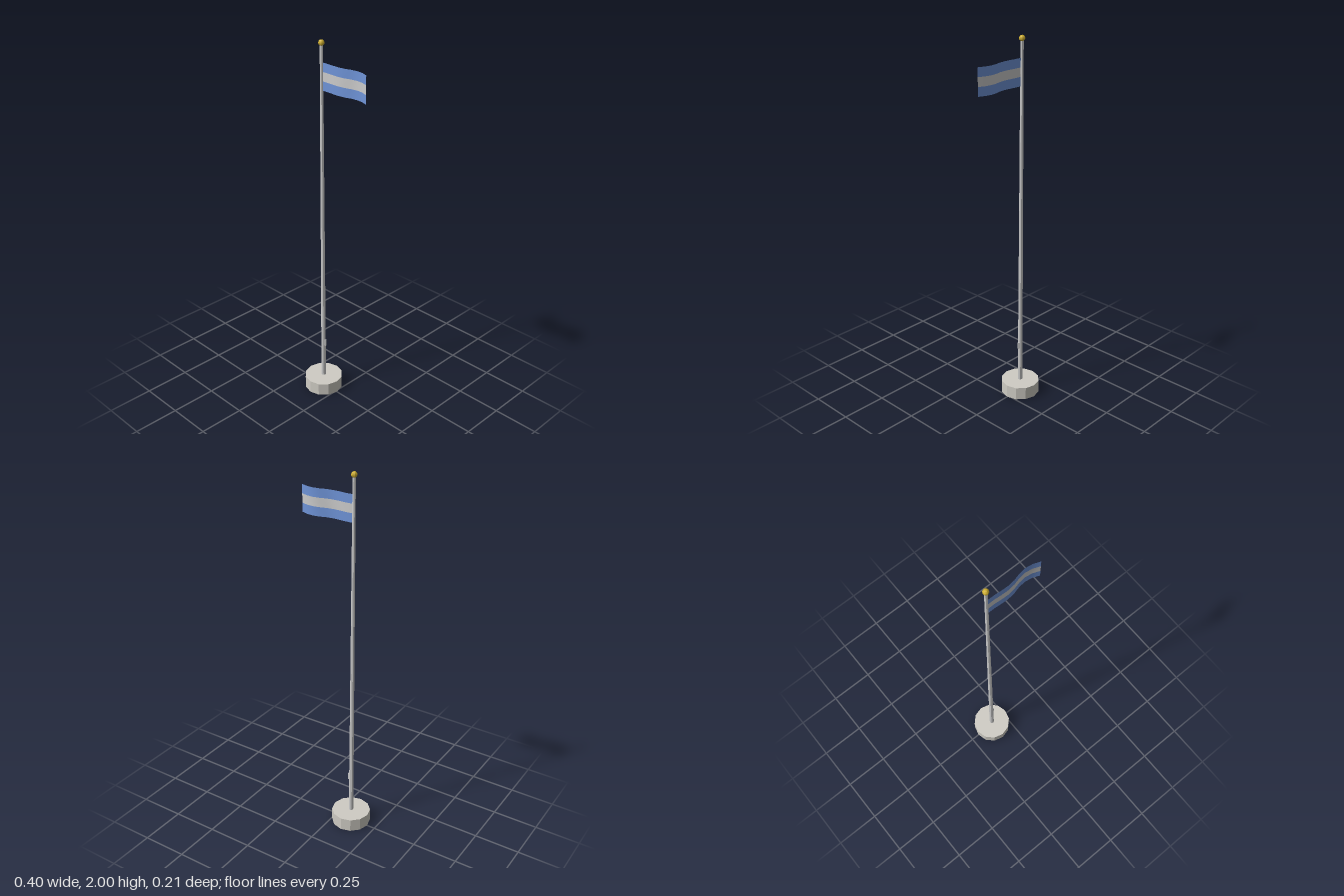
import * as THREE from 'three';

const POLE_X = -0.097;

function material(color, extra = {}) {
  return new THREE.MeshStandardMaterial({ color, flatShading: true, ...extra });
}

function part(name, geometry, mat, x, y, z = 0) {
  const mesh = new THREE.Mesh(geometry, mat);
  mesh.name = name;
  mesh.position.set(x, y, z);
  return mesh;
}

// Sideways offset of the cloth at equal steps from hoist to fly
const WAVE = [0, 0, 0.003, 0.004, 0, -0.01, -0.014, -0.009, 0.005];

// One horizontal strip of waving cloth
function stripGeometry(length, height) {
  const geo = new THREE.PlaneGeometry(length, height, WAVE.length - 1, 1);
  const pos = geo.attributes.position;
  for (let i = 0; i < pos.count; i++) pos.setZ(i, WAVE[i % WAVE.length]);
  geo.computeVertexNormals();
  return geo;
}

export function createModel() {
  const model = new THREE.Group();
  model.name = 'flagpole';

  const grey = material(0xcccccc);
  const stone = material(0xcfccc4);
  const gold = material(0xd0b030);
  const blue = material(0x6f94d8, { side: THREE.DoubleSide, flatShading: false });
  const pale = material(0xcccccc, { side: THREE.DoubleSide, flatShading: false });

  // Footing, tapered pole and ball on top
  model.add(part('base', new THREE.CylinderGeometry(0.106, 0.106, 0.072, 12), stone, POLE_X, 0.036));
  model.add(part('pole', new THREE.CylinderGeometry(0.008, 0.013, 1.91, 8), grey, POLE_X, 1.025));
  model.add(part('finial', new THREE.SphereGeometry(0.0155, 8, 6), gold, POLE_X, 1.9845));

  // Rope cleat on the pole's side
  model.add(part('cleat', new THREE.BoxGeometry(0.008, 0.038, 0.008), grey, POLE_X + 0.0145, 0.29));

  // Flag in three equal stripes
  const flag = new THREE.Group();
  flag.name = 'flag';
  const left = -0.088, right = 0.202, bottom = 1.75, stripe = 0.14 / 3;
  [blue, pale, blue].forEach((mat, i) => {
    const name = ['lowerStripe', 'middleStripe', 'upperStripe'][i];
    flag.add(part(name, stripGeometry(right - left, stripe), mat, (left + right) / 2, bottom + stripe * (i + 0.5)));
  });
  model.add(flag);

  return model;
}
